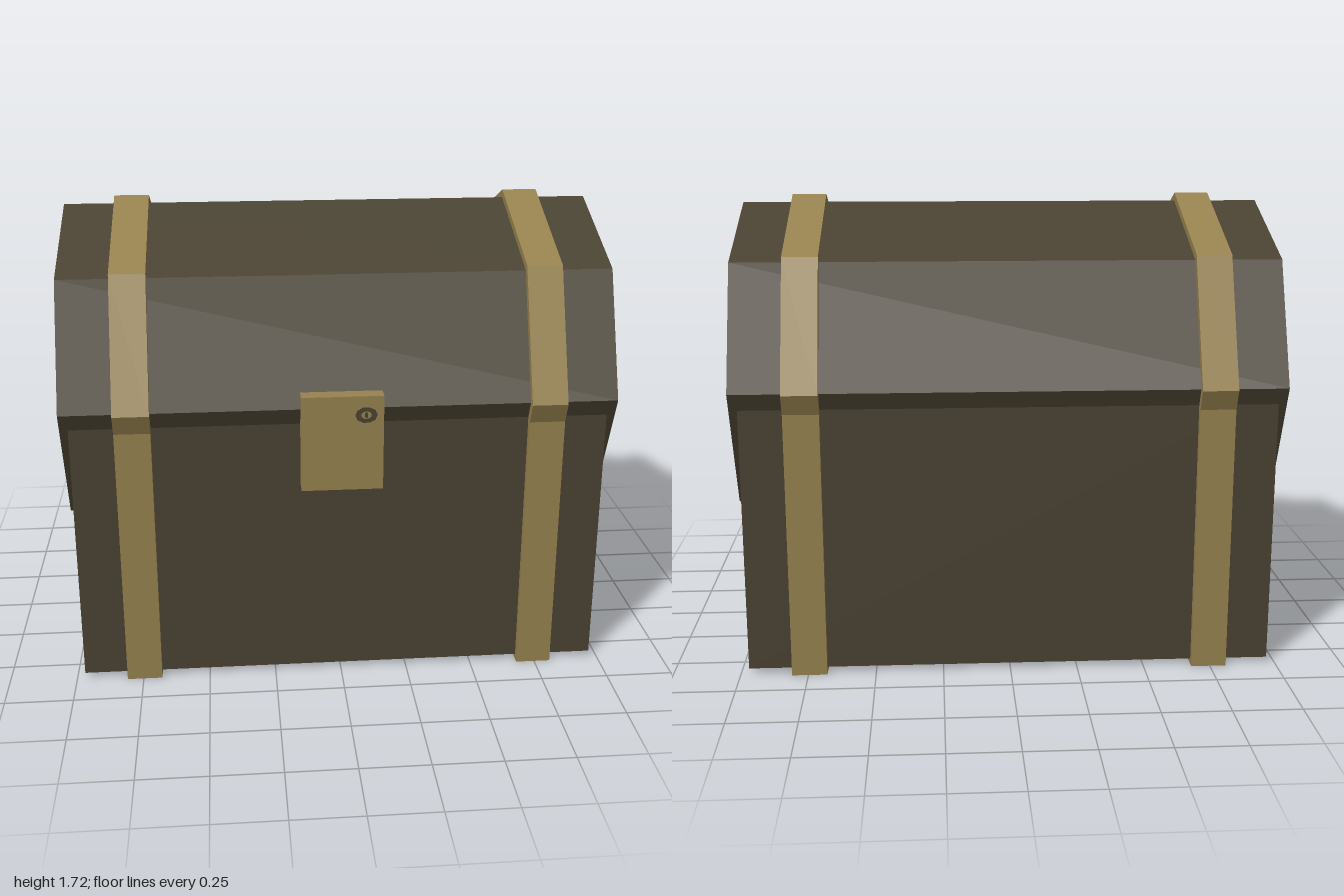
import * as THREE from 'three';

const wood = new THREE.MeshStandardMaterial({ color: 0x4a4333, flatShading: true });
wood.name = 'dark wood';
const brass = new THREE.MeshStandardMaterial({ color: 0x988350, flatShading: true });
brass.name = 'aged brass';

const LID_Y = 1.064; // height of the lid's axis

export function createModel() {
  const model = new THREE.Group();
  model.name = 'chest';

  const add = (name, geometry, material, x, y, z) => {
    const mesh = new THREE.Mesh(geometry, material);
    mesh.name = name;
    mesh.position.set(x, y, z);
    model.add(mesh);
    return mesh;
  };
  const box = (name, material, w, y0, y1, d, x = 0, z = -0.003) =>
    add(name, new THREE.BoxGeometry(w, y1 - y0, d), material, x, (y0 + y1) / 2, z);
  // Eight-sided prism lying along x, with a corner at the very top
  const prism = (name, material, radius, width, x = 0) =>
    add(name, new THREE.CylinderGeometry(radius, radius, width, 8).rotateZ(Math.PI / 2),
      material, x, LID_Y, -0.003);

  // Body and faceted lid
  box('body', wood, 1.94, 0.02, 1.06, 1.2);
  prism('lid', wood, 0.626, 2);

  // Straps around the body and lid
  for (const [side, s] of [['left', 1], ['right', -1]]) {
    box(side + 'BodyStrap', brass, 0.13, 0, 1.06, 1.25, s * 0.745);
    prism(side + 'LidStrap', brass, 0.656, 0.13, s * 0.745);
  }

  // Lock plate
  box('lockPlate', brass, 0.294, 0.766, 1.12, 0.07, -0.002, 0.625);

  // Keyhole: a small dark ring around a narrow slit
  const ring = add('keyholeRing', new THREE.RingGeometry(0.019, 0.04, 10), wood, 0.082, 1.05, 0.6615);
  ring.scale.y = 0.75;
  const slit = add('keyholeSlit', new THREE.CircleGeometry(0.012, 8), wood, 0.082, 1.05, 0.6615);
  slit.scale.x = 0.5;

  return model;
}
